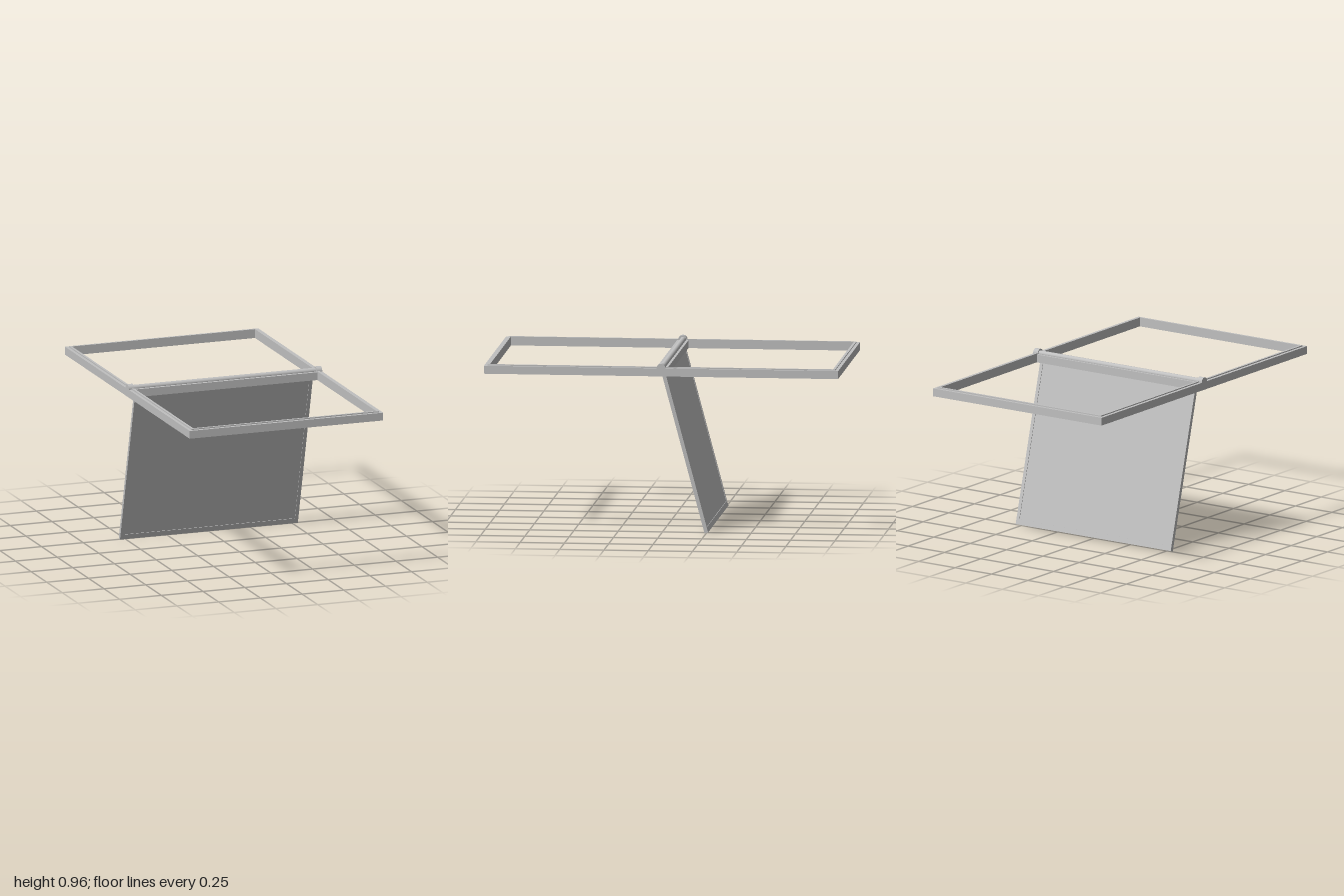
import * as THREE from 'three';

const metal = new THREE.MeshStandardMaterial({ color: 0xc0c0c0 });
metal.name = 'light grey metal';

function add(parent, name, geometry, x = 0, y = 0, z = 0) {
  const mesh = new THREE.Mesh(geometry, metal);
  mesh.name = name;
  mesh.position.set(x, y, z);
  parent.add(mesh);
  return mesh;
}

// Rectangular ring in the XY plane, centred in depth
function ring(w, h, innerW, innerH, depth) {
  const rect = (Type, a, b) => new Type([
    new THREE.Vector2(-a, -b), new THREE.Vector2(a, -b),
    new THREE.Vector2(a, b), new THREE.Vector2(-a, b),
  ]);
  const shape = rect(THREE.Shape, w / 2, h / 2);
  shape.holes.push(rect(THREE.Path, innerW / 2, innerH / 2));
  return new THREE.ExtrudeGeometry(shape, { depth, bevelEnabled: false })
    .translate(0, 0, -depth / 2);
}

export function createModel() {
  const model = new THREE.Group();
  model.name = 'swingPanelFrame';

  // Horizontal frame with a low raised lip round the opening
  add(model, 'frame', ring(1.16, 2, 1.096, 1.936, 0.045).rotateX(-Math.PI / 2), 0, 0.916, 0);
  add(model, 'frameLip', ring(1.124, 1.964, 1.096, 1.936, 0.006).rotateX(-Math.PI / 2), 0, 0.9415, 0);

  // Cross beam with the hinge rod on top
  add(model, 'crossBeam', new THREE.BoxGeometry(1.096, 0.045, 0.064), 0, 0.916, -0.002);
  const rod = (r, length) => new THREE.CylinderGeometry(r, r, length, 32).rotateZ(Math.PI / 2);
  add(model, 'hingeRod', rod(0.016, 1.1), 0, 0.941, -0.004);

  // Hinge bearings at both ends
  for (const side of [-1, 1]) {
    add(model, 'hingeBearing', rod(0.025, 0.033), side * 0.5635, 0.94, 0);
  }

  // Panel hanging from the hinge, swung towards the back
  const panel = new THREE.Group();
  panel.name = 'hangingPanel';
  panel.position.set(0, 0.94, 0);
  panel.rotation.x = THREE.MathUtils.degToRad(15);
  const top = -0.03, bottom = -0.97;
  const height = top - bottom, middle = (top + bottom) / 2;
  add(panel, 'panelRim', ring(1.066, height, 1.026, height - 0.06, 0.021), 0, middle, 0);
  add(panel, 'panelSheet', new THREE.BoxGeometry(1.03, height - 0.05, 0.015), 0, middle, 0);
  model.add(panel);

  return model;
}
